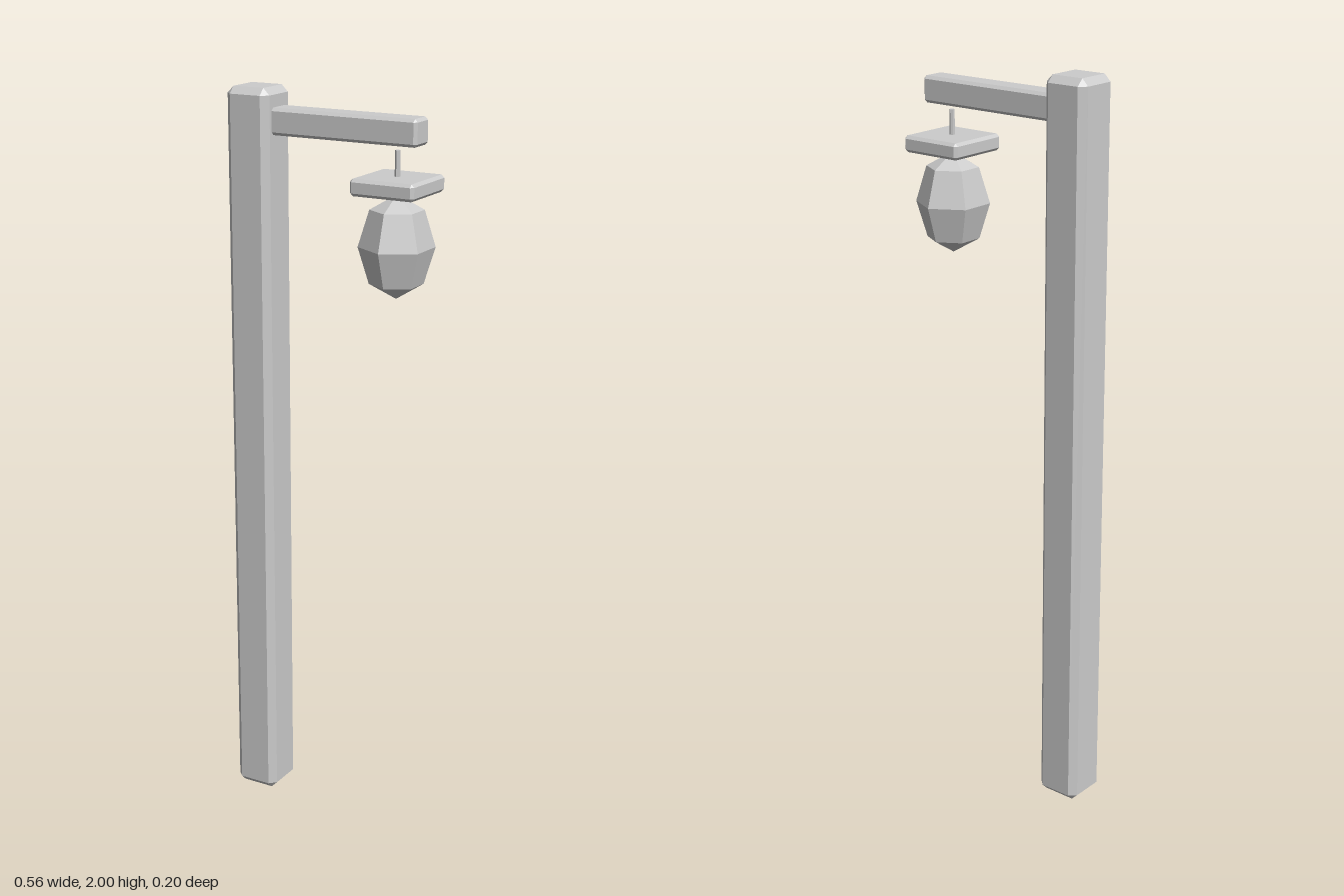
import * as THREE from 'three';
import { ConvexGeometry } from 'three/addons/geometries/ConvexGeometry.js';

const material = new THREE.MeshStandardMaterial({ color: 0xcccccc, flatShading: true });

function part(name, geometry, x, y, z = 0) {
  const mesh = new THREE.Mesh(geometry, material);
  mesh.name = name;
  mesh.position.set(x, y, z);
  return mesh;
}

// Box with every edge cut by a flat chamfer of width c
function chamferBox(w, h, d, c) {
  const half = [w / 2, h / 2, d / 2];
  const points = [];
  for (const sx of [-1, 1]) for (const sy of [-1, 1]) for (const sz of [-1, 1]) {
    for (let axis = 0; axis < 3; axis++) {
      const p = [sx, sy, sz].map((s, i) => s * (half[i] - (i === axis ? 0 : c)));
      points.push(new THREE.Vector3(...p));
    }
  }
  return new ConvexGeometry(points);
}

export function createModel() {
  const model = new THREE.Group();
  model.name = 'hangingLampPost';
  const lampX = 0.191;

  // Upright post and the arm that runs into it
  model.add(part('post', chamferBox(0.126, 2, 0.126, 0.018), -0.218, 1));
  model.add(part('arm', chamferBox(0.46, 0.07, 0.071, 0.008), 0.03, 1.915));

  // Lantern hanging below the arm
  const lantern = new THREE.Group();
  lantern.name = 'lantern';
  lantern.position.x = lampX;
  lantern.add(part('hangerRod', new THREE.CylinderGeometry(0.007, 0.007, 0.085, 6), 0, 1.8235));
  lantern.add(part('lanternCap', chamferBox(0.18, 0.044, 0.18, 0.008), 0, 1.778));

  // Six-sided faceted globe with corners facing front and back
  const globe = new THREE.SphereGeometry(0.099, 6, 4);
  globe.rotateY(Math.PI / 2);
  globe.scale(1, 1.36, 1);
  lantern.add(part('lanternGlobe', globe, 0, 1.621));
  model.add(lantern);

  return model;
}
